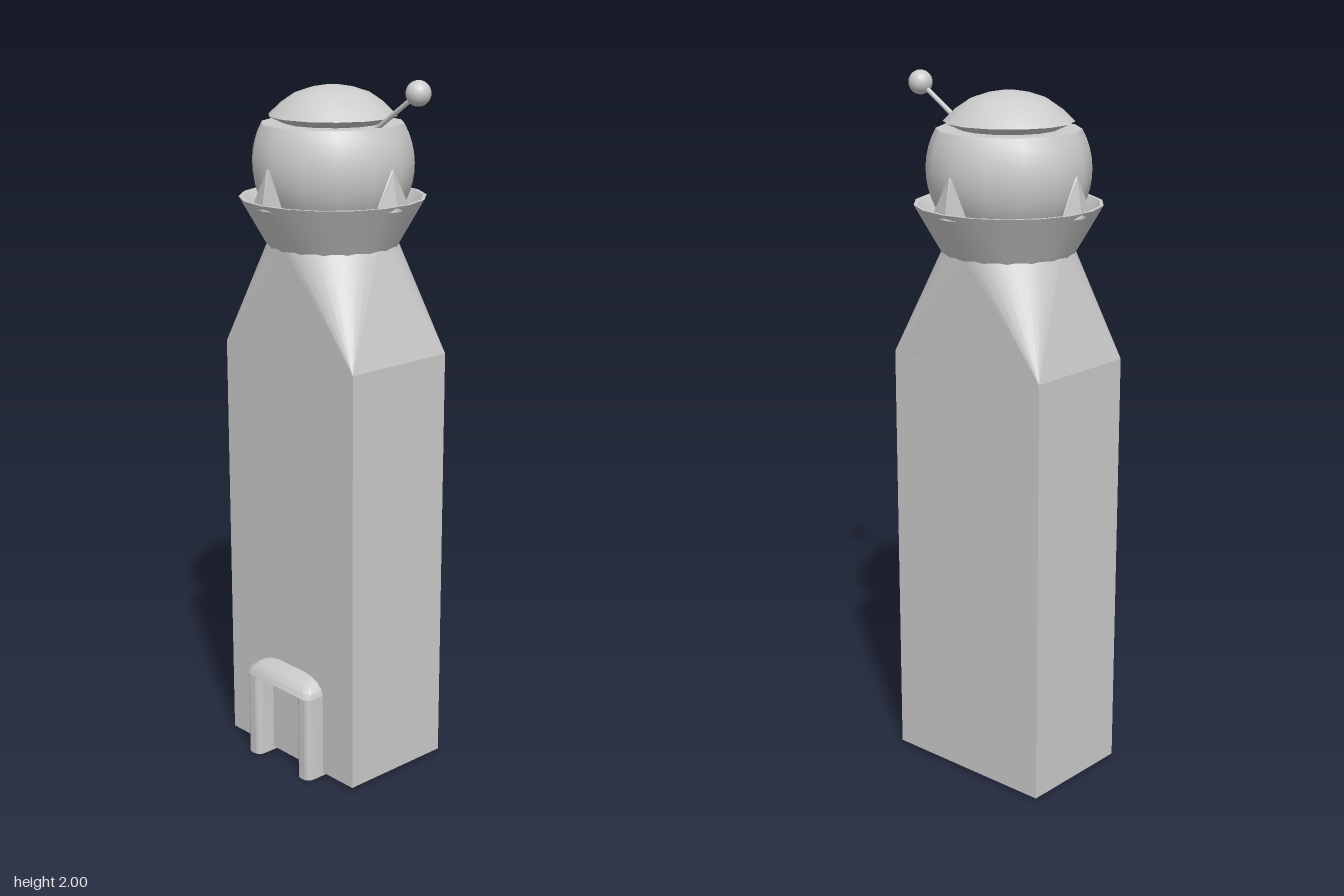
import * as THREE from 'three';
import { toCreasedNormals } from 'three/addons/utils/BufferGeometryUtils.js';

const CX = -0.045; // tower axis
const X0 = -0.305, X1 = 0.225, ZW = 0.176;
const material = new THREE.MeshStandardMaterial({ color: 0xcccccc, side: THREE.DoubleSide });

function add(parent, name, geometry, x = 0, y = 0, z = 0) {
  const mesh = new THREE.Mesh(geometry, material);
  mesh.name = name;
  mesh.position.set(x, y, z);
  parent.add(mesh);
  return mesh;
}

// Surface through rings of equal point count
function loft(rings, closed, caps = false) {
  const n = rings[0].length, pos = rings.flat(2), idx = [];
  for (let r = 0; r < rings.length - 1; r++) {
    for (let i = 0; i < (closed ? n : n - 1); i++) {
      const a = r * n + i, b = r * n + (i + 1) % n;
      idx.push(a, b, b + n, a, b + n, a + n);
    }
  }
  if (caps) {
    const t = (rings.length - 1) * n;
    for (let i = 1; i < n - 1; i++) idx.push(0, i + 1, i, t, t + i, t + i + 1);
  }
  const g = new THREE.BufferGeometry();
  g.setAttribute('position', new THREE.Float32BufferAttribute(pos, 3));
  g.setIndex(idx);
  g.computeVertexNormals();
  return g;
}

function lathe(points, sides, crease) {
  const g = new THREE.LatheGeometry(points.map(([r, y]) => new THREE.Vector2(r, y)), sides);
  return toCreasedNormals(g, crease);
}

export function createModel() {
  const model = new THREE.Group();
  model.name = 'tower';

  // Hollow shaft, open underneath
  const corners = [[X1, ZW], [X1, -ZW], [X0, -ZW], [X0, ZW]];
  const shaft = loft([0.01, 1.235].map(y => corners.map(([x, z]) => [x, y, z])), true);
  add(model, 'shaft', toCreasedNormals(shaft, 0.5));

  // Shoulder from rectangle to circle: each corner fans out to a quarter arc
  const low = [], high = [], steps = 8;
  corners.forEach(([x, z], q) => {
    for (let j = 0; j <= steps; j++) {
      const a = (q + j / steps) * Math.PI / 2;
      low.push([x, 1.235, z]);
      high.push([CX + 0.183 * Math.sin(a), 1.535, 0.183 * Math.cos(a)]);
    }
  });
  add(model, 'shoulder', loft([low, high], true));

  // Flared gallery
  add(model, 'gallery', lathe([[0.183, 1.53], [0.26, 1.665], [0.25, 1.665], [0.2, 1.6]], 18, 0.6), CX);

  // Four pointed crenels on the gallery
  for (let i = 0; i < 4; i++) {
    const holder = new THREE.Group();
    holder.name = 'crenel';
    holder.position.x = CX;
    holder.rotation.y = i * Math.PI / 2;
    const base = [[-0.065, 1.65, 0.236], [0, 1.65, 0.256], [0.065, 1.65, 0.236], [0, 1.65, 0.205]];
    const tip = [[-0.004, 1.76, 0.235], [0, 1.76, 0.238], [0.004, 1.76, 0.235], [0, 1.76, 0.23]];
    add(holder, 'crenelSpike', toCreasedNormals(loft([base, tip], true, true), 0.2));
    model.add(holder);
  }

  // Round lamp room, cut flat on top
  const ball = [];
  for (let i = 0; i <= 12; i++) {
    const a = -0.95 + i / 12 * (0.95 + 0.51);
    ball.push([0.226 * Math.cos(a), 1.755 + 0.226 * Math.sin(a)]);
  }
  ball.push([0, 1.865]);
  add(model, 'lampRoom', lathe(ball, 14, 0.7), CX);

  // Low domed cap
  add(model, 'cap', lathe([[0.13, 1.863], [0.178, 1.885], [0.145, 1.917], [0.105, 1.944],
    [0.06, 1.959], [0.025, 1.965], [0, 1.967]], 14, 0.7), CX);

  // Antenna rod and ball
  const from = new THREE.Vector3(0.12, 1.86, -0.004), to = new THREE.Vector3(0.27, 1.966, -0.012);
  const dir = to.clone().sub(from);
  const mid = from.clone().add(to).multiplyScalar(0.5);
  const rod = add(model, 'antennaRod', new THREE.CylinderGeometry(0.007, 0.007, dir.length(), 8), mid.x, mid.y, mid.z);
  rod.quaternion.setFromUnitVectors(new THREE.Vector3(0, 1, 0), dir.normalize());
  add(model, 'antennaBall', new THREE.SphereGeometry(0.034, 20, 14), to.x, to.y, to.z);

  // Doorway posts with rounded fronts
  const doorX = -0.037;
  for (const side of [-1, 1]) {
    const w = 0.027, plan = new THREE.Shape();
    plan.moveTo(-w, -0.16);
    plan.lineTo(-w, -0.21);
    plan.quadraticCurveTo(-w, -0.235, 0, -0.235);
    plan.quadraticCurveTo(w, -0.235, w, -0.21);
    plan.lineTo(w, -0.16);
    const g = new THREE.ExtrudeGeometry(plan, { depth: 0.255, bevelEnabled: false, curveSegments: 5 });
    g.rotateX(-Math.PI / 2);
    add(model, 'doorPost', toCreasedNormals(g, 0.6), doorX + side * 0.11);
  }

  // Doorway hood, rounding back to the wall
  const hood = [[0.255, 0.137, 0.235], [0.272, 0.132, 0.229], [0.29, 0.115, 0.212], [0.305, 0.075, 0.176]]
    .map(([y, w, z]) => [[-w, y, 0.165], [-w, y, z - 0.012], [-w + 0.02, y, z],
      [w - 0.02, y, z], [w, y, z - 0.012], [w, y, 0.165]]);
  add(model, 'doorHood', toCreasedNormals(loft(hood, true, true), 0.7), doorX);

  return model;
}
